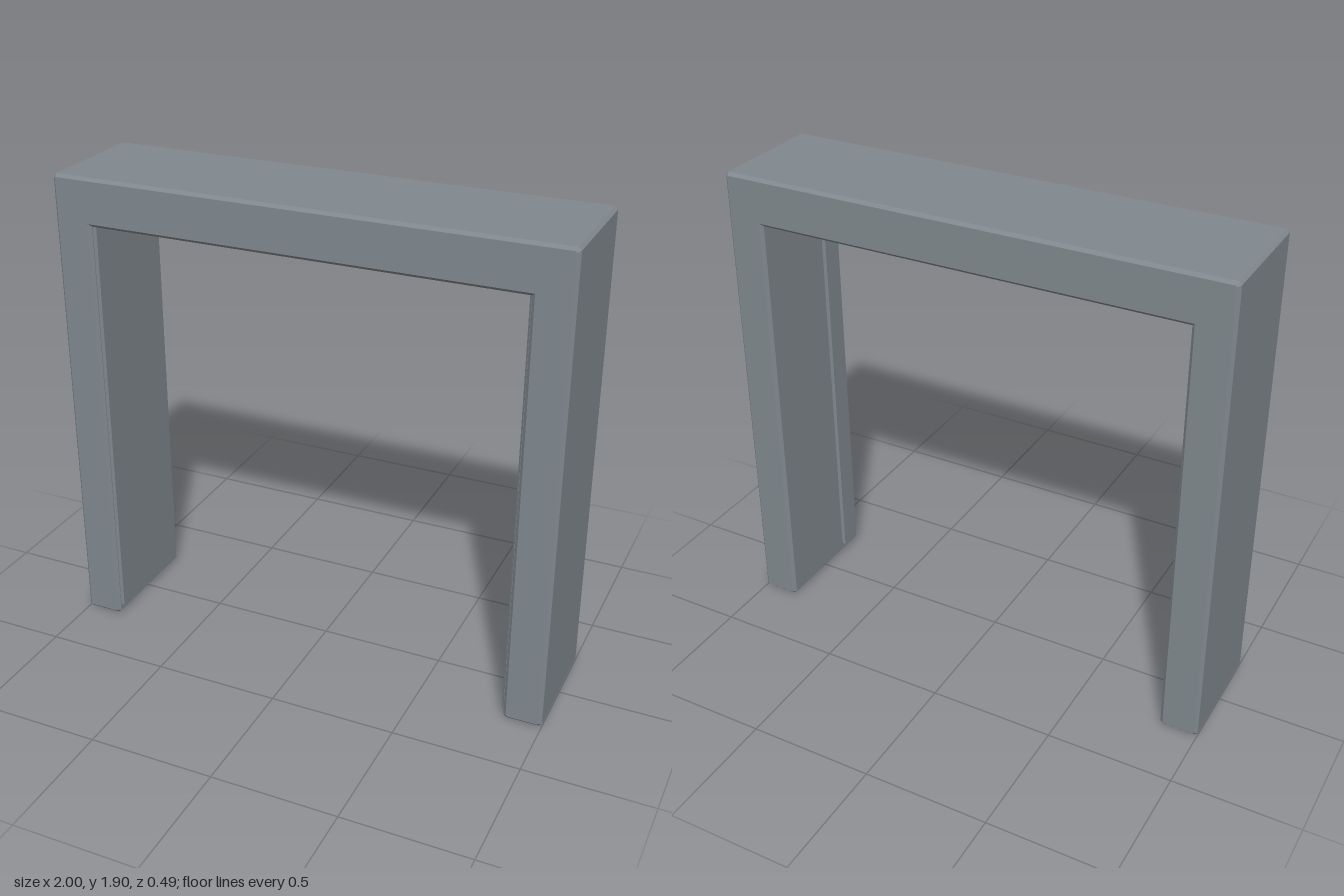
import * as THREE from 'three';

// Extrudes an outline along z between two depths, with a flat chamfer on both ends
function chamferedSlab(points, zBack, zFront, chamfer) {
  const shape = new THREE.Shape(points.map(([x, y]) => new THREE.Vector2(x, y)));
  const geometry = new THREE.ExtrudeGeometry(shape, {
    depth: zFront - zBack - 2 * chamfer,
    bevelEnabled: true,
    bevelSegments: 1,
    bevelSize: chamfer,
    bevelThickness: chamfer,
    bevelOffset: -chamfer,
  });
  geometry.translate(0, 0, zBack + chamfer);
  return geometry;
}

export function createModel() {
  const grey = new THREE.MeshStandardMaterial({ color: 0x80888e });
  grey.name = 'slate grey';
  const model = new THREE.Group();
  model.name = 'doorFrame';

  const W = 1, H = 1.9, D = 0.245, inner = 0.848, lintel = 1.712, c = 0.012;

  // Two legs and the lintel in one outline, with cut outer corners
  const half = [
    [inner, lintel], [inner, c], [inner + c, 0], [W - c, 0],
    [W, c], [W, H - c], [W - c, H],
  ];
  const mirrored = half.map(([x, y]) => [-x, y]).reverse();
  const frame = new THREE.Mesh(chamferedSlab([...half, ...mirrored], -D, D, c), grey);
  frame.name = 'frame';
  model.add(frame);

  // Slim stop strip on the inner face of each leg, near the front
  for (const side of [-1, 1]) {
    const xa = side < 0 ? -0.87 : 0.838;
    const xb = xa + 0.032;
    const outline = [[xa, 0.032], [xb, 0.032], [xb, lintel + 0.02], [xa, lintel + 0.02]];
    const strip = new THREE.Mesh(chamferedSlab(outline, 0.125, 0.23, 0.008), grey);
    strip.name = side < 0 ? 'rightStopStrip' : 'leftStopStrip';
    model.add(strip);
  }
  return model;
}
